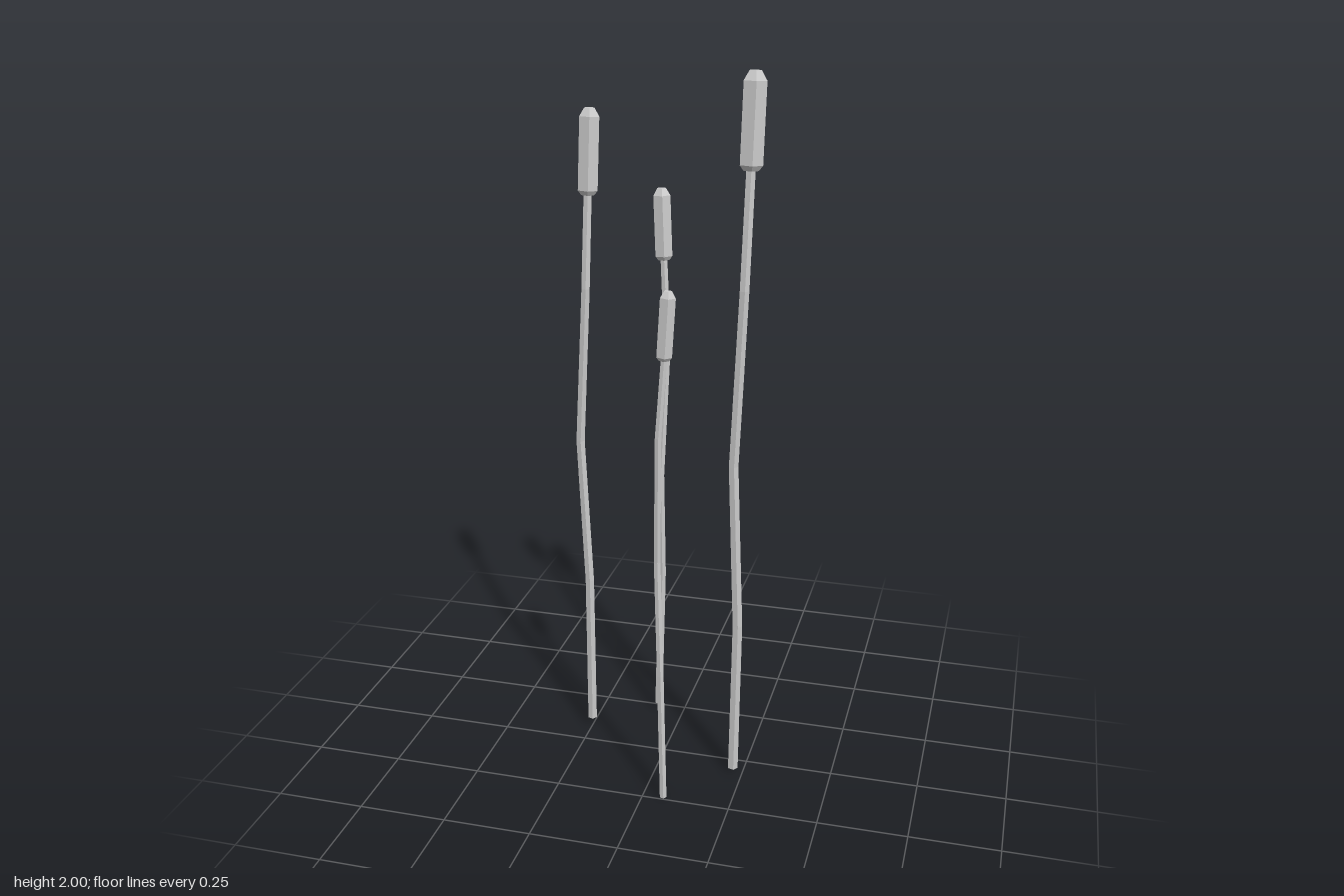
import * as THREE from 'three';

const SIDES = 5;
const material = new THREE.MeshStandardMaterial({ color: 0xcccccc, flatShading: true });

// Each reed: stem path from the ground to the seed head, then the tip of the head
const REEDS = [
  { stem: 0.0148, head: 0.031, tip: [0.243, 2.0, 0.046],
    path: [[0.22, 0.01, 0.055], [0.228, 0.48, 0.066], [0.21, 0.96, 0.07], [0.233, 1.45, 0.082], [0.239, 1.755, 0.061]] },
  { stem: 0.0135, head: 0.028, tip: [-0.228, 1.875, -0.085],
    path: [[-0.249, 0.03, -0.077], [-0.247, 0.5, -0.069], [-0.265, 0.94, -0.064], [-0.238, 1.39, -0.053], [-0.233, 1.645, -0.071]] },
  { stem: 0.0118, head: 0.025, tip: [-0.073, 1.64, -0.242],
    path: [[-0.077, 0.025, -0.221], [-0.064, 0.48, -0.214], [-0.066, 0.8, -0.204], [-0.05, 1.2, -0.219], [-0.063, 1.44, -0.231]] },
  { stem: 0.01, head: 0.021, tip: [0.073, 1.48, 0.243],
    path: [[0.058, 0, 0.237], [0.051, 0.39, 0.241], [0.041, 0.73, 0.235], [0.048, 1.09, 0.25], [0.063, 1.3, 0.248]] },
];

// Five-sided stem: the rings of a cylinder are moved onto the path, thinning upwards
function makeStem(path, radius) {
  const rings = path.length - 1;
  const geometry = new THREE.CylinderGeometry(radius * 0.85, radius, 1, SIDES, rings, false, Math.PI / 2);
  const pos = geometry.attributes.position;
  for (let i = 0; i < pos.count; i++) {
    const [x, y, z] = path[Math.round((pos.getY(i) + 0.5) * rings)];
    pos.setXYZ(i, pos.getX(i) + x, y, pos.getZ(i) + z);
  }
  geometry.computeVertexNormals();
  const mesh = new THREE.Mesh(geometry, material);
  mesh.name = 'stem';
  return mesh;
}

// Seed head: faceted spindle with chamfered ends, leaning along the last stem direction
function makeHead(base, tip, r) {
  const start = new THREE.Vector3(...base);
  const axis = new THREE.Vector3(...tip).sub(start);
  const length = axis.length();
  const profile = [
    [0, 0], [r * 0.65, 0], [r, r * 0.45], [r, length - r * 0.8], [r * 0.52, length], [0, length],
  ].map(([x, y]) => new THREE.Vector2(x, y));
  const mesh = new THREE.Mesh(new THREE.LatheGeometry(profile, SIDES, Math.PI / 2), material);
  mesh.position.copy(start);
  mesh.quaternion.setFromUnitVectors(new THREE.Vector3(0, 1, 0), axis.normalize());
  mesh.name = 'seedHead';
  return mesh;
}

export function createModel() {
  const model = new THREE.Group();
  model.name = 'reeds';
  for (const { path, tip, stem, head } of REEDS) {
    const reed = new THREE.Group();
    reed.name = 'reed';
    reed.add(makeStem(path, stem), makeHead(path[path.length - 1], tip, head));
    model.add(reed);
  }
  return model;
}
